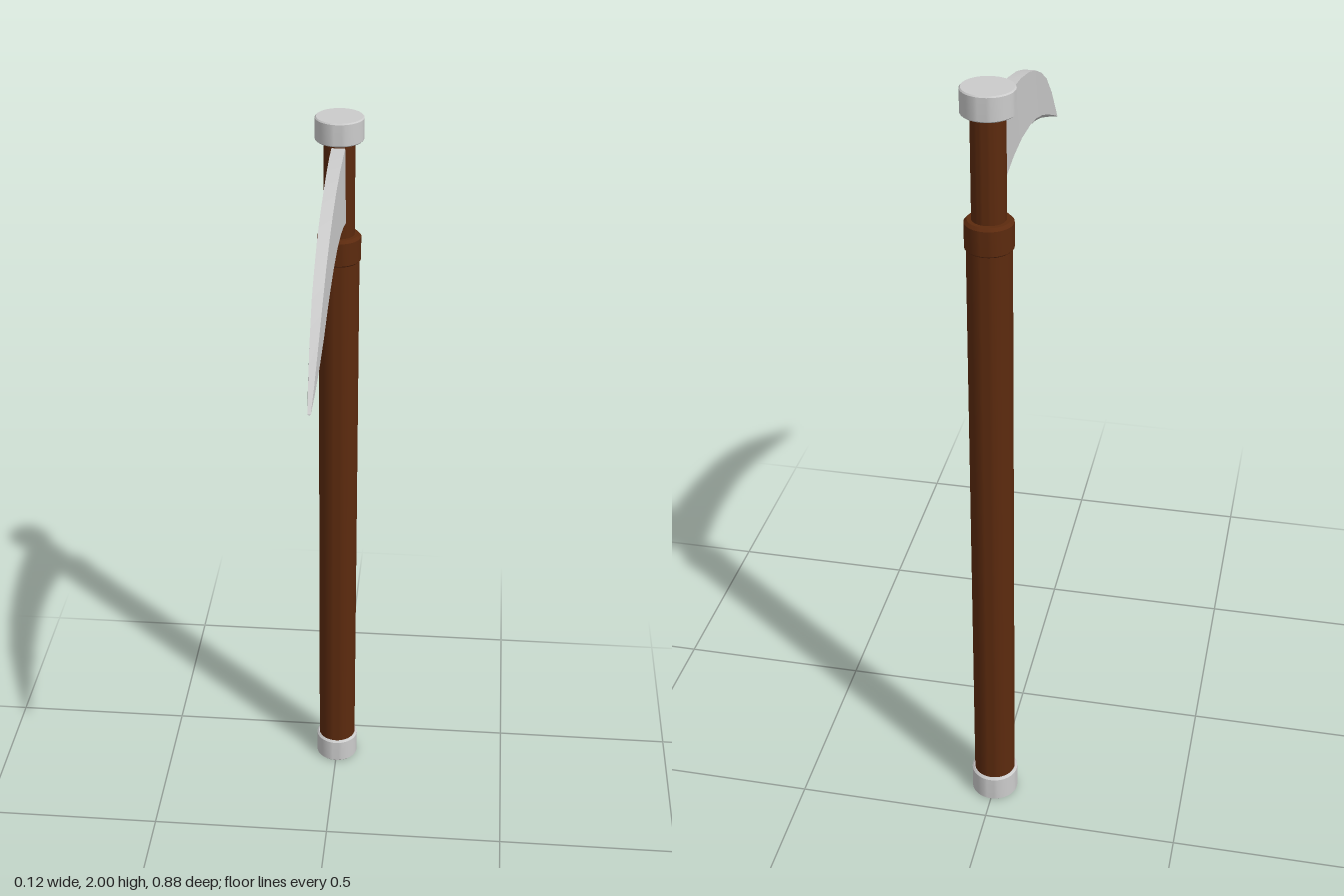
import * as THREE from 'three';
import { toCreasedNormals } from 'three/addons/utils/BufferGeometryUtils.js';

const AXIS_Z = -0.38; // the handle stands behind the centre, the blade reaches forward

const metal = new THREE.MeshStandardMaterial({ color: 0xcccccc });
const wood = new THREE.MeshStandardMaterial({ color: 0x5c2a0e });

// Turned part from [radius, y] pairs listed bottom to top
function turned(name, profile, material) {
  const points = profile.map(([r, y]) => new THREE.Vector2(r, y));
  const geometry = toCreasedNormals(new THREE.LatheGeometry(points, 40), 0.5);
  const mesh = new THREE.Mesh(geometry, material);
  mesh.name = name;
  mesh.position.z = AXIS_Z;
  return mesh;
}

// Capped cylinder with small chamfers
function band(name, radius, y0, y1, bevel, material) {
  return turned(name, [
    [0, y0], [radius - bevel, y0], [radius, y0 + bevel],
    [radius, y1 - bevel], [radius - bevel, y1], [0, y1],
  ], material);
}

// Curved blade: five-sided sections with a flat spine, a ridge and a sharp lower edge
function makeBlade() {
  // z, spine y, ridge y, edge y, half width at the ridge
  const sections = [
    [-0.37, 1.93, 1.725, 1.687, 0.02],
    [-0.28, 1.93, 1.752, 1.715, 0.02],
    [-0.20, 1.925, 1.763, 1.729, 0.019],
    [-0.10, 1.912, 1.766, 1.735, 0.018],
    [0.00, 1.89, 1.757, 1.732, 0.0175],
    [0.08, 1.864, 1.742, 1.722, 0.017],
    [0.16, 1.828, 1.718, 1.703, 0.016],
    [0.235, 1.784, 1.69, 1.68, 0.015],
    [0.32, 1.715, 1.654, 1.648, 0.012],
    [0.39, 1.647, 1.624, 1.621, 0.008],
    [0.44, 1.602, 1.601, 1.6, 0.004],
  ];
  const positions = [];
  const index = [];
  const n = 5;
  for (const [z, spine, ridge, edge, w] of sections) {
    const s = w * 0.85;
    positions.push(-s, spine, z, s, spine, z, w, ridge, z, 0, edge, z, -w, ridge, z);
  }
  for (let i = 0; i < sections.length - 1; i++) {
    for (let k = 0; k < n; k++) {
      const a = i * n + k, b = i * n + (k + 1) % n;
      index.push(a, a + n, b, b, a + n, b + n);
    }
  }
  // Close the root and the tip
  const tip = (sections.length - 1) * n;
  for (let k = 1; k < n - 1; k++) {
    index.push(0, k, k + 1, tip, tip + k + 1, tip + k);
  }
  const geometry = new THREE.BufferGeometry();
  geometry.setAttribute('position', new THREE.Float32BufferAttribute(positions, 3));
  geometry.setIndex(index);
  const mesh = new THREE.Mesh(toCreasedNormals(geometry, 0.3), metal);
  mesh.name = 'blade';
  return mesh;
}

export function createModel() {
  const model = new THREE.Group();
  model.name = 'sickle';
  model.add(
    band('bottomCap', 0.06, 0, 0.075, 0.005, metal),
    band('handle', 0.053, 0.06, 1.63, 0.002, wood),
    band('collar', 0.057, 1.615, 1.69, 0.007, wood),
    band('neck', 0.04, 1.68, 1.95, 0.002, wood),
    band('topCap', 0.062, 1.94, 2, 0.003, metal),
    makeBlade(),
  );
  return model;
}
